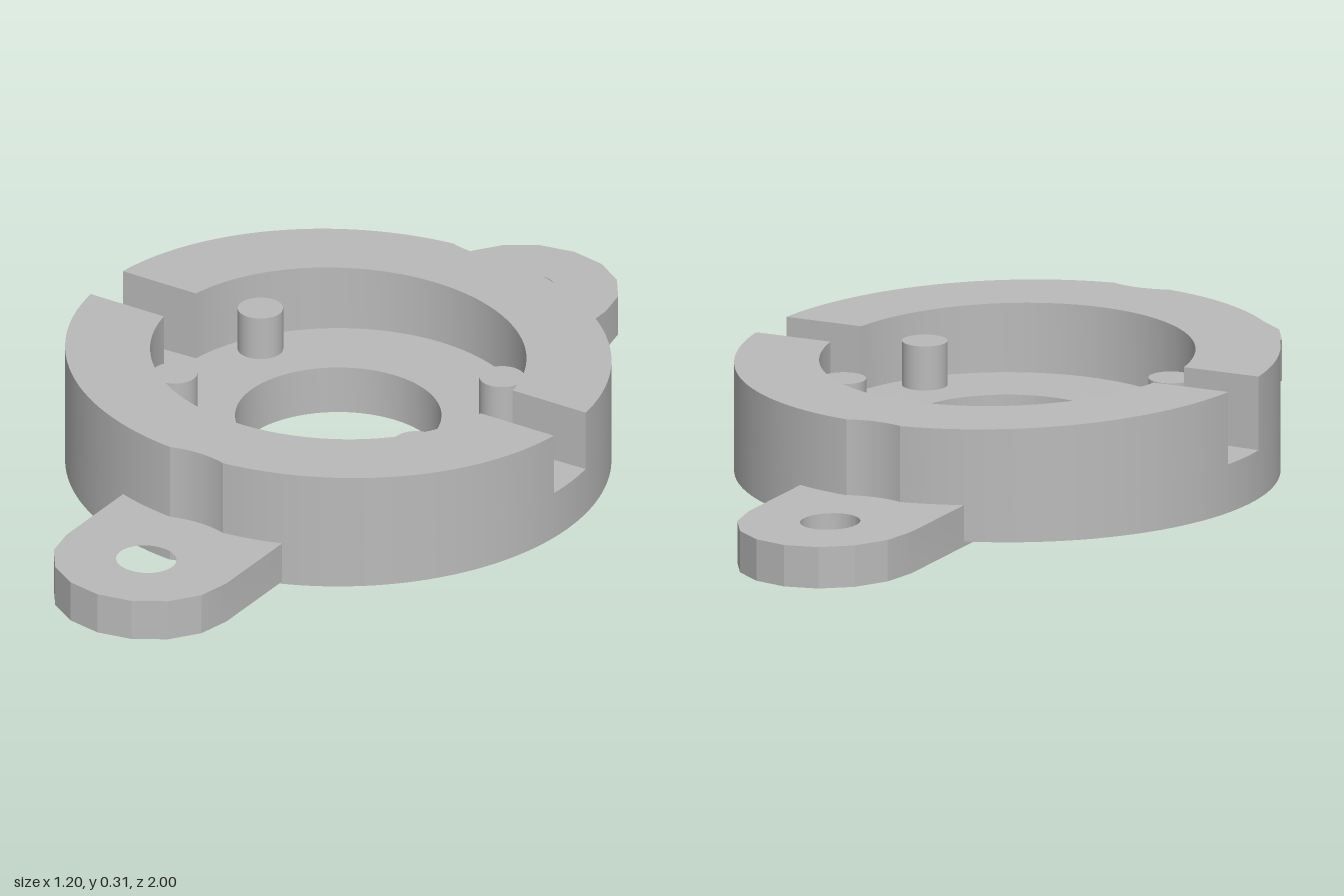
import * as THREE from 'three';
import { toCreasedNormals } from 'three/addons/utils/BufferGeometryUtils.js';

const R_OUT = 0.598, R_CUP = 0.412, R_HOLE = 0.226;
const BOTTOM = 0.03, FLOOR = 0.14, SLOT = 0.067;
const TAB_Z = 0.795, DENT_R = 0.212;
const tilt = (x, z) => -0.021 * x + 0.023 * z;

// extrude a plan shape upwards between two heights, optionally tilting its top or all of it
function plate(shape, y0, y1, tiltMode, curveSegments = 48) {
  const geo = new THREE.ExtrudeGeometry(shape, { depth: y1 - y0, bevelEnabled: false, curveSegments });
  geo.rotateX(-Math.PI / 2).translate(0, y0, 0);
  const p = geo.attributes.position, mid = (y0 + y1) / 2;
  for (let i = 0; i < p.count; i++) {
    if (tiltMode === 'all' || (tiltMode === 'top' && p.getY(i) > mid)) {
      p.setY(i, p.getY(i) + tilt(p.getX(i), p.getZ(i)));
    }
  }
  return toCreasedNormals(geo, 0.35);
}

// outer arc over one half, with the shallow screw-clearance dent in its middle
function halfOutline(shape, start, flip) {
  const a = (TAB_Z ** 2 + R_OUT ** 2 - DENT_R ** 2) / (2 * TAB_Z);
  const h = Math.sqrt(R_OUT ** 2 - a * a);
  const edge = Math.atan2(a, h), dent = Math.atan2(h, TAB_Z - a), o = flip ? Math.PI : 0;
  shape.absarc(0, 0, R_OUT, o + start, o + edge, false);
  shape.absarc(0, flip ? -TAB_Z : TAB_Z, DENT_R, o - Math.PI / 2 + dent, o - Math.PI / 2 - dent, true);
  shape.absarc(0, 0, R_OUT, o + Math.PI - edge, o + Math.PI - start, false);
}

function circleHole(x, y, r) {
  return new THREE.Path().absarc(x, y, r, 0, Math.PI * 2, true);
}

export function createModel() {
  const group = new THREE.Group();
  const grey = new THREE.MeshStandardMaterial({ color: 0xbababa });
  grey.name = 'grey';
  const add = (geo, name) => {
    const mesh = new THREE.Mesh(geo, grey);
    mesh.name = name;
    group.add(mesh);
    return mesh;
  };

  // base disc with the central hole
  const base = new THREE.Shape();
  halfOutline(base, 0, false);
  halfOutline(base, 0, true);
  base.holes.push(circleHole(0, 0, R_HOLE));
  add(plate(base, BOTTOM, FLOOR), 'baseDisc').position.z = -0.003;

  // two wall halves, parted by the side slots, with a slanted top
  for (const flip of [false, true]) {
    const wall = new THREE.Shape();
    const out = Math.asin(SLOT / R_OUT), inn = Math.asin(SLOT / R_CUP), o = flip ? Math.PI : 0;
    halfOutline(wall, out, flip);
    wall.absarc(0, 0, R_CUP, o + Math.PI - inn, o + inn, true);
    add(plate(wall, FLOOR, 0.293, 'top'), flip ? 'frontWall' : 'backWall').position.z = -0.003;
  }

  // four locating pegs
  for (const x of [-0.31, 0.31]) {
    for (const z of [-0.18, 0.18]) {
      const peg = add(new THREE.CylinderGeometry(0.05, 0.05, 0.11, 32), 'peg');
      peg.position.set(x, 0.185, z - 0.003);
    }
  }

  // mounting tabs, both lying in one slanted plane
  for (const s of [1, -1]) {
    const r = 0.205, cx = -0.004, inner = 0.36;
    const pts = [new THREE.Vector2(cx + r, s * inner)];
    for (let i = 0; i <= 8; i++) {
      const a = i * Math.PI / 8;
      pts.push(new THREE.Vector2(cx + r * Math.cos(a), s * (TAB_Z + r * Math.sin(a))));
    }
    pts.push(new THREE.Vector2(cx - r, s * inner));
    const tab = new THREE.Shape(pts);
    tab.holes.push(circleHole(cx, s * TAB_Z, 0.066));
    add(plate(tab, 0.027, 0.121, 'all', 32), s > 0 ? 'backTab' : 'frontTab');
  }
  return group;
}
